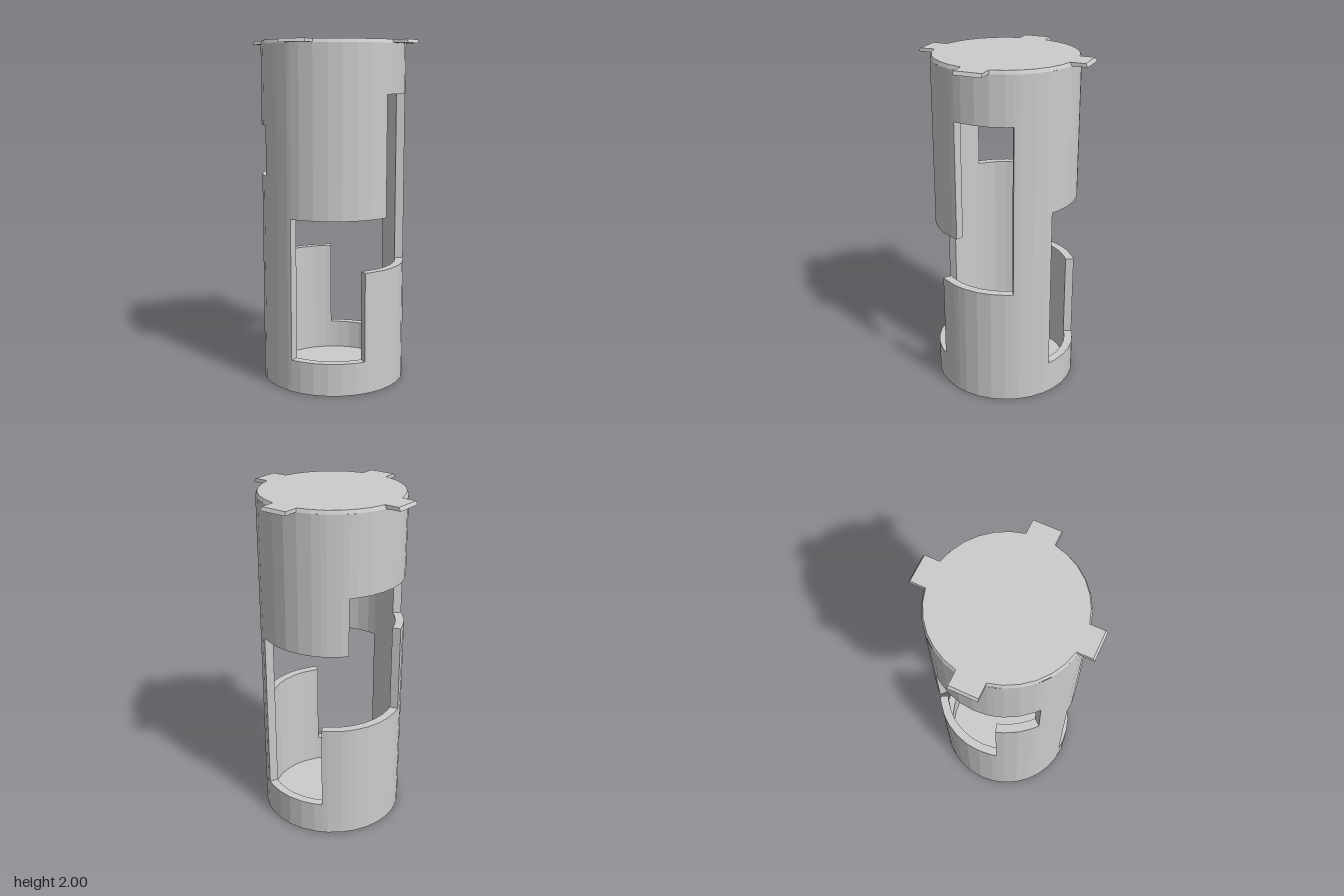
import * as THREE from 'three';

const R_OUT = 0.42, R_IN = 0.37, FLOOR = 0.03, CAP = 1.98, SIDES = 32;

// Openings in the wall: angle from the front towards +x (degrees), then height range
const openings = [
  // stepped slot from the front round to +x
  [-8, 52, 0.19, 1.01], [52, 72, 0.71, 1.01], [72, 119, 0.71, 1.70],
  // stepped slot from the back round to -x
  [151, 209, 0.20, 1.18], [209, 230, 0.71, 1.18], [230, 286, 0.71, 1.52], [286, 320, 1.23, 1.52],
];

const unique = (list) => [...new Set(list)].sort((a, b) => a - b);

// Tube wall: a grid of curved cells, with faces only where a cell meets empty space
function wallGeometry() {
  const facetAngles = Array.from({ length: SIDES }, (_, i) => (i * 360) / SIDES);
  const angles = unique([...facetAngles, ...openings.flatMap(([a, b]) => [(a + 360) % 360, b])]);
  const levels = unique([FLOOR, CAP, ...openings.flatMap((o) => [o[2], o[3]])]);
  const n = angles.length, m = levels.length - 1;
  const edge = (i) => (i < n ? angles[i] : angles[i - n] + 360);

  const solid = (i, j) => {
    const k = (i + n) % n;
    const a = (edge(k) + edge(k + 1)) / 2, y = (levels[j] + levels[j + 1]) / 2;
    return !openings.some(([a0, a1, y0, y1]) =>
      y > y0 && y < y1 && ((a > a0 && a < a1) || (a - 360 > a0 && a - 360 < a1)));
  };

  const positions = [];
  const point = ([deg, r, y]) => {
    const a = THREE.MathUtils.degToRad(deg);
    return [r * Math.sin(a), y, r * Math.cos(a)];
  };
  const quad = (a, b, c, d) => {
    for (const p of [a, b, c, a, c, d]) positions.push(...point(p));
  };

  for (let i = 0; i < n; i++) {
    const a0 = edge(i), a1 = edge(i + 1);
    for (let j = 0; j < m; j++) {
      if (!solid(i, j)) continue;
      const y0 = levels[j], y1 = levels[j + 1];
      // outer and inner skins
      quad([a0, R_OUT, y0], [a1, R_OUT, y0], [a1, R_OUT, y1], [a0, R_OUT, y1]);
      quad([a1, R_IN, y0], [a0, R_IN, y0], [a0, R_IN, y1], [a1, R_IN, y1]);
      // sills and lintels
      if (j < m - 1 && !solid(i, j + 1))
        quad([a0, R_OUT, y1], [a1, R_OUT, y1], [a1, R_IN, y1], [a0, R_IN, y1]);
      if (j > 0 && !solid(i, j - 1))
        quad([a0, R_IN, y0], [a1, R_IN, y0], [a1, R_OUT, y0], [a0, R_OUT, y0]);
      // upright jambs
      if (!solid(i + 1, j))
        quad([a1, R_OUT, y0], [a1, R_IN, y0], [a1, R_IN, y1], [a1, R_OUT, y1]);
      if (!solid(i - 1, j))
        quad([a0, R_IN, y0], [a0, R_OUT, y0], [a0, R_OUT, y1], [a0, R_IN, y1]);
    }
  }
  const geometry = new THREE.BufferGeometry();
  geometry.setAttribute('position', new THREE.Float32BufferAttribute(positions, 3));
  geometry.computeVertexNormals();
  return geometry;
}

// Lid: a disc with four square tabs, its rim sloping inwards to the top
function lidGeometry() {
  const end = 0.5, half = R_OUT * Math.sin((2 * Math.PI) / SIDES);
  const outline = [];
  for (let q = 0; q < 4; q++) {
    const turn = (q * Math.PI) / 2;
    const points = [new THREE.Vector2(end, -half), new THREE.Vector2(end, half)];
    for (let i = 1; i < SIDES / 4; i++) {
      const a = (i * 2 * Math.PI) / SIDES;
      points.push(new THREE.Vector2(R_OUT * Math.cos(a), R_OUT * Math.sin(a)));
    }
    for (const p of points) outline.push(p.rotateAround(new THREE.Vector2(), turn));
  }
  const geometry = new THREE.ExtrudeGeometry(new THREE.Shape(outline), { depth: 2 - CAP, bevelEnabled: false });
  geometry.rotateX(-Math.PI / 2);
  const pos = geometry.attributes.position;
  for (let i = 0; i < pos.count; i++) {
    if (pos.getY(i) > 0.01) {
      pos.setX(i, pos.getX(i) * 0.978);
      pos.setZ(i, pos.getZ(i) * 0.978);
    }
  }
  geometry.translate(0, CAP, 0);
  geometry.computeVertexNormals();
  return geometry;
}

export function createModel() {
  const group = new THREE.Group();
  group.name = 'slottedCanister';
  const material = new THREE.MeshStandardMaterial({ color: 0xcccccc, flatShading: true });
  const add = (name, geometry) => {
    const mesh = new THREE.Mesh(geometry, material);
    mesh.name = name;
    group.add(mesh);
  };

  add('slottedWall', wallGeometry());
  add('floor', new THREE.CylinderGeometry(R_OUT, R_OUT, FLOOR, SIDES).translate(0, FLOOR / 2, 0));
  add('tabbedLid', lidGeometry());
  return group;
}
